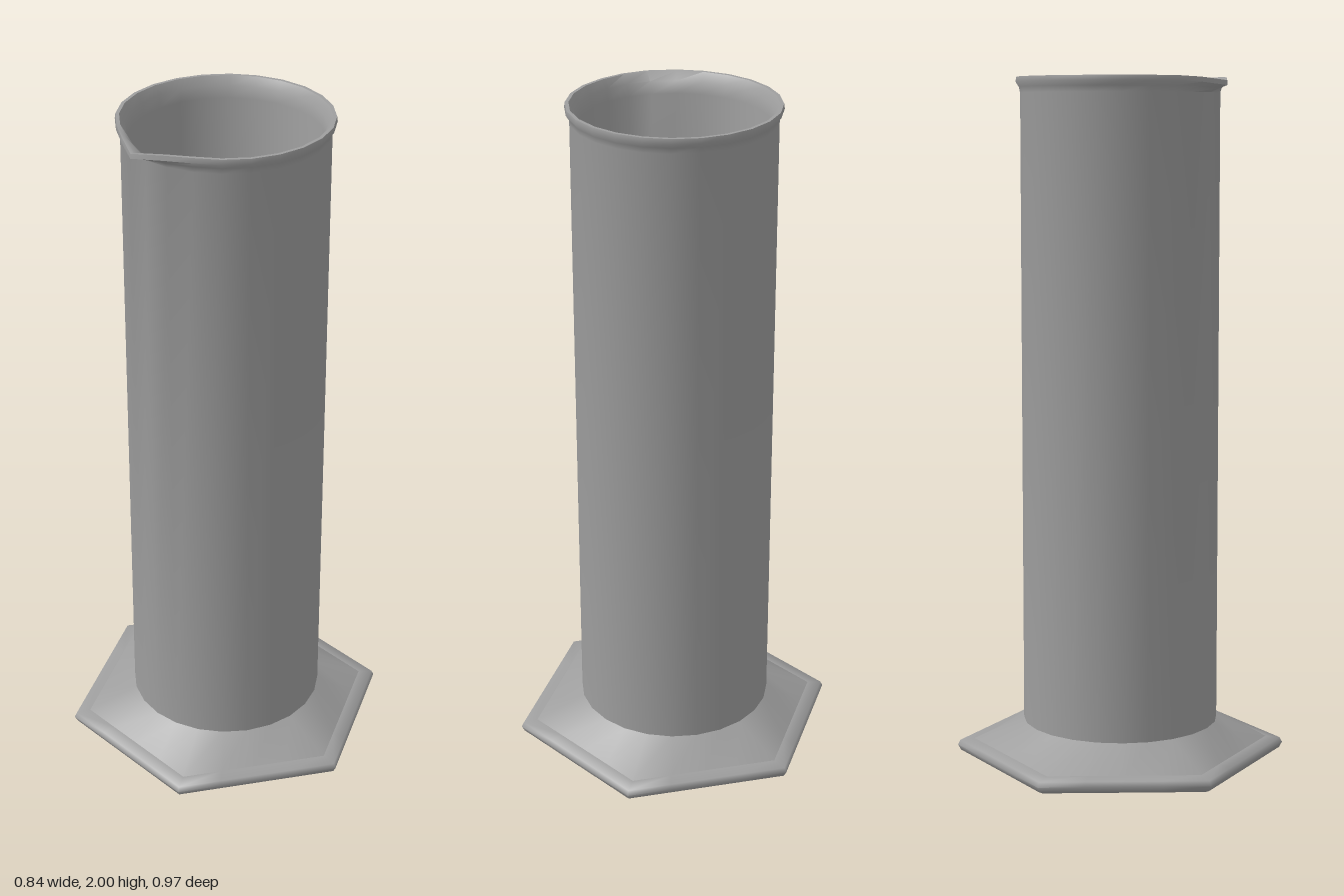
import * as THREE from 'three';
import { toCreasedNormals } from 'three/addons/utils/BufferGeometryUtils.js';

const SIDES = 24;
const RAD = Math.PI / 180;

// Skins a stack of closed rings; each ring gives height y and radius r by angle in degrees
function loft(rings, crease) {
  const pos = [];
  const index = [];
  for (const { y, r } of rings) {
    for (let j = 0; j < SIDES; j++) {
      const deg = (j * 360) / SIDES;
      pos.push(r(deg) * Math.cos(deg * RAD), y(deg), -r(deg) * Math.sin(deg * RAD));
    }
  }
  for (let i = 0; i < rings.length - 1; i++) {
    const startsAtPoint = rings[i].r(0) === 0;
    const endsAtPoint = rings[i + 1].r(0) === 0;
    for (let j = 0; j < SIDES; j++) {
      const a = i * SIDES + j, b = i * SIDES + ((j + 1) % SIDES);
      const c = b + SIDES, d = a + SIDES;
      if (!startsAtPoint) index.push(a, b, c);
      if (!endsAtPoint) index.push(a, c, d);
    }
  }
  const geo = new THREE.BufferGeometry();
  geo.setAttribute('position', new THREE.Float32BufferAttribute(pos, 3));
  geo.setIndex(index);
  return toCreasedNormals(geo, crease);
}

// Circle whose spout reaches out toward -x and droops slightly at the tip
const bump = (deg) => Math.pow(Math.max(0, 1 - Math.abs(deg - 180) / 36), 2.3);
const circle = (y, radius, spout = 0) => ({
  y: (deg) => y - 0.3 * spout * bump(deg),
  r: (deg) => radius + spout * bump(deg),
});

// Hexagon with corners on the z axis
const hexagon = (y, radius) => ({
  y: () => y,
  r: (deg) => (radius * Math.cos(30 * RAD)) / Math.cos((((deg + 30) % 60) - 30) * RAD),
});

export function createModel() {
  const group = new THREE.Group();
  const material = new THREE.MeshStandardMaterial({ color: 0x9e9e9e, side: THREE.DoubleSide });
  const add = (name, geometry) => {
    const mesh = new THREE.Mesh(geometry, material);
    mesh.name = name;
    group.add(mesh);
  };

  // Hexagonal foot with rounded edge and flat border
  add('foot', loft([
    hexagon(0, 0),
    hexagon(0, 0.46),
    hexagon(0.008, 0.478),
    hexagon(0.024, 0.487),
    hexagon(0.038, 0.48),
    hexagon(0.043, 0.437),
  ], 1.15));

  // Smooth collar from the hexagonal border up to the round tube
  add('collar', loft([hexagon(0.043, 0.437), circle(0.11, 0.288)], 1.15));

  // Hollow tube: outer wall, flared lip with pouring spout, inner wall and floor
  add('tube', loft([
    circle(0.11, 0.288),
    circle(1.955, 0.288),
    circle(1.972, 0.292, 0.022),
    circle(1.986, 0.301, 0.04),
    circle(2, 0.299, 0.041),
    circle(2, 0.289, 0.041),
    circle(1.975, 0.274, 0.022),
    circle(1.94, 0.269),
    circle(0.09, 0.269),
    circle(0.09, 0),
  ], 0.9));

  return group;
}
